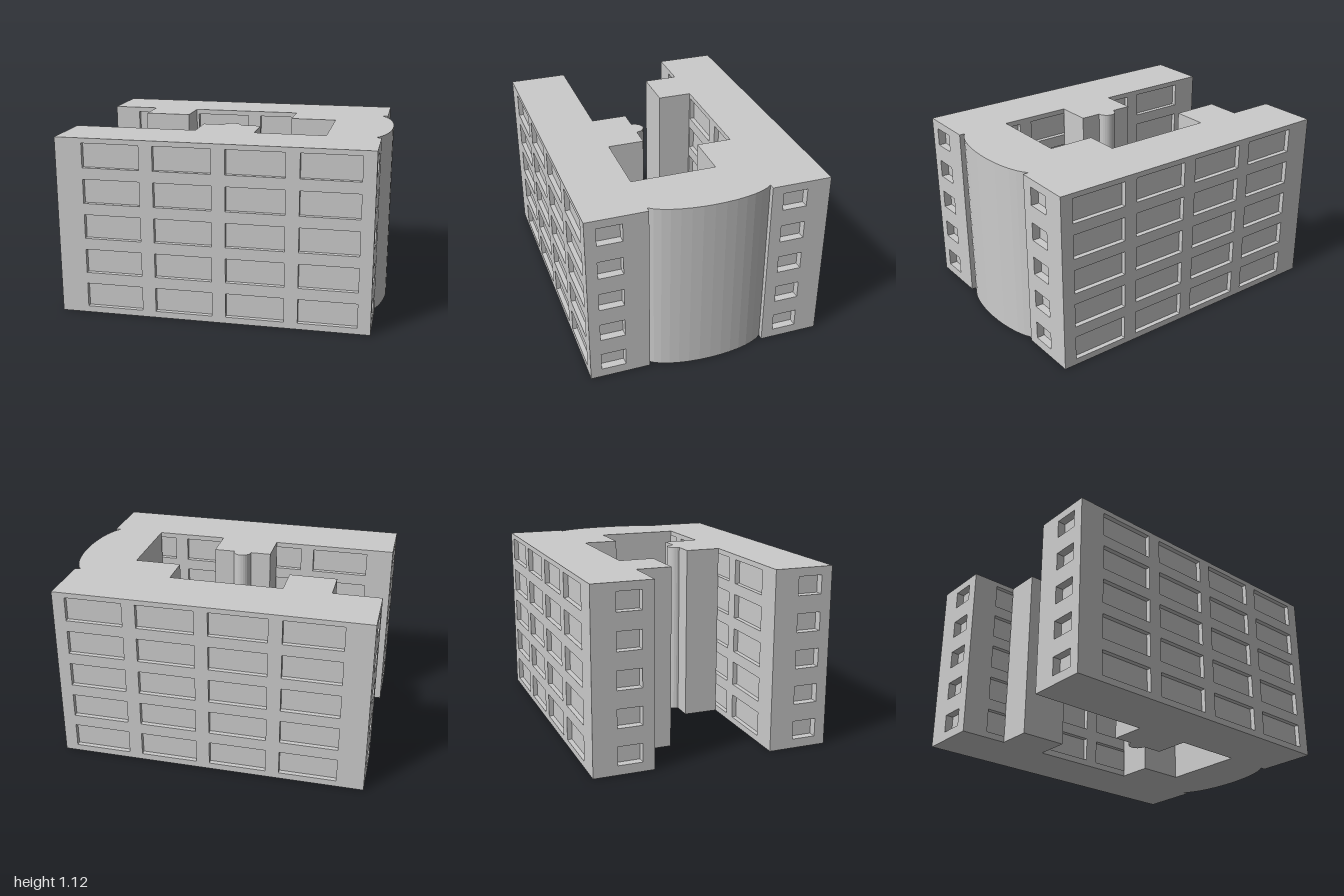
import * as THREE from 'three';

const H = 1.125, ROWS = 5, PITCH = 0.225;
const X0 = -1, X1 = 0.945;           // wing ends
const Z0 = 0.375, Z1 = 0.75;         // wing inner and outer faces
const FACE_DEPTH = 0.03, END_DEPTH = 0.05;
const mat = new THREE.MeshStandardMaterial({ color: 0xcccccc, flatShading: true });

function add(parent, name, geo) {
  const m = new THREE.Mesh(geo, mat);
  m.name = name;
  parent.add(m);
  return m;
}

// Box given by its plan extents, full height
function block(parent, name, x0, x1, z0, z1) {
  const geo = new THREE.BoxGeometry(x1 - x0, H, z1 - z0);
  return add(parent, name, geo.translate((x0 + x1) / 2, H / 2, (z0 + z1) / 2));
}

// Wall sheet in the xy plane with a grid of window holes
function windowWall(u0, u1, columns, sill, w, h, depth) {
  const s = new THREE.Shape([[u0, 0], [u1, 0], [u1, H], [u0, H]].map(p => new THREE.Vector2(...p)));
  for (let r = 0; r < ROWS; r++) {
    const y = sill + r * PITCH;
    for (const c of columns) {
      const a = c - w / 2, b = c + w / 2;
      s.holes.push(new THREE.Path([[a, y], [a, y + h], [b, y + h], [b, y]].map(p => new THREE.Vector2(...p))));
    }
  }
  return new THREE.ExtrudeGeometry(s, { depth, bevelEnabled: false });
}

// Extrude a plan outline (x, z) to the full height
function planExtrude(points) {
  const s = new THREE.Shape(points.map(([x, z]) => new THREE.Vector2(x, -z)));
  return new THREE.ExtrudeGeometry(s, { depth: H, bevelEnabled: false }).rotateX(-Math.PI / 2);
}

// Long wing: solid core, two long window walls, two end window walls
function wing(name, zNear, zFar, endWindowZ) {
  const g = new THREE.Group();
  g.name = name;
  const za = zNear + FACE_DEPTH, zb = zFar - FACE_DEPTH;
  block(g, 'core', X0 + END_DEPTH, X1 - END_DEPTH, za, zb);
  const cols = [-0.65, -0.205, 0.24, 0.685];
  for (const z of [zNear, zb])
    add(g, 'longWindowWall', windowWall(X0, X1, cols, 0.04, 0.36, 0.153, FACE_DEPTH).translate(0, 0, z));
  for (const x of [X0, X1 - END_DEPTH]) {
    const geo = windowWall(-zb, -za, [-endWindowZ], 0.058, 0.153, 0.115, END_DEPTH);
    add(g, 'endWindowWall', geo.rotateY(Math.PI / 2).translate(x, 0, 0));
  }
  return g;
}

export function createModel() {
  const model = new THREE.Group();
  model.name = 'building';
  model.add(wing('frontWing', Z0, Z1, 0.605));
  model.add(wing('backWing', -Z1, -Z0, -0.525));

  // Connecting block with bowed outer wall
  const plan = [[0.61, -Z0], [0.61, Z0]];
  const N = 14, end = Math.asin(Z0 / 0.4);
  for (let i = 0; i <= N; i++) {
    const a = end * (1 - 2 * i / N);
    plan.push([0.86 + 0.14 * Math.cos(a), 0.4 * Math.sin(a)]);
  }
  add(model, 'bowedConnector', planExtrude(plan));

  // Courtyard projections
  block(model, 'backProjectionOuter', -0.7, -0.4, -Z0, -0.155);
  block(model, 'backProjectionInner', 0.315, 0.61, -Z0, -0.155);
  block(model, 'frontProjection', -0.215, 0.16, 0.15, Z0);

  // Half-round shaft on the front projection
  const half = [];
  for (let i = 0; i <= 12; i++) {
    const a = Math.PI * i / 12;
    half.push([-0.028 + 0.057 * Math.cos(a), 0.15 - 0.06 * Math.sin(a)]);
  }
  add(model, 'roundShaft', planExtrude(half));
  return model;
}
